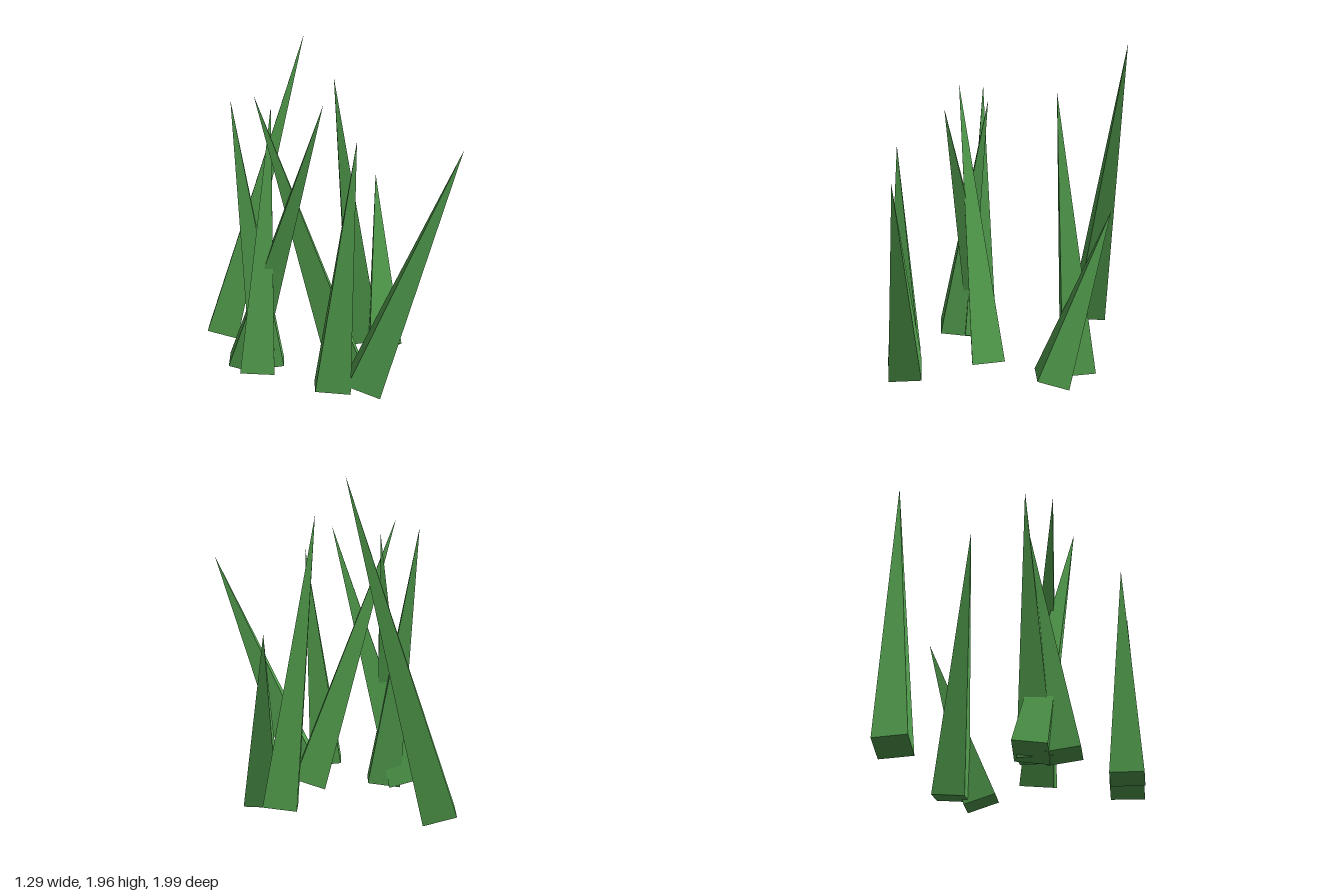
import * as THREE from 'three';

// Each blade: base centre x, z, then tip x, y, z
const BLADES = [
  [-0.05, -0.86, 0.42, 1.96, -0.58],
  [-0.315, 0.588, 0.05, 1.39, 0.995],
  [-0.44, 0.472, -0.35, 1.44, 0.57],
  [0.47, -0.10, 0.24, 1.72, -0.15],
  [0.437, 0.104, 0.645, 1.08, -0.16],
  [-0.015, 0.17, -0.49, 1.66, -0.095],
  [-0.44, -0.235, -0.28, 1.61, 0.25],
  [-0.36, -0.13, -0.48, 1.62, -0.30],
  [-0.51, -0.06, -0.30, 1.58, -0.15],
];
const BASE_Y = 0.045;
const RADIUS = 0.14;

export function createModel() {
  const group = new THREE.Group();
  group.name = 'grassTuft';
  const green = new THREE.MeshStandardMaterial({ color: 0x55a350, flatShading: true });
  green.name = 'grass green';
  const up = new THREE.Vector3(0, 1, 0);

  // Four-sided spikes, each leaning from its base towards its tip
  BLADES.forEach(([x, z, tx, ty, tz], i) => {
    const base = new THREE.Vector3(x, BASE_Y, z);
    const axis = new THREE.Vector3(tx, ty, tz).sub(base);
    const height = axis.length();
    const geometry = new THREE.ConeGeometry(RADIUS, height, 4);
    geometry.translate(0, height / 2, 0);
    const blade = new THREE.Mesh(geometry, green);
    blade.name = `grassBlade${i + 1}`;
    blade.position.copy(base);
    blade.quaternion.setFromUnitVectors(up, axis.normalize());
    group.add(blade);
  });
  return group;
}
